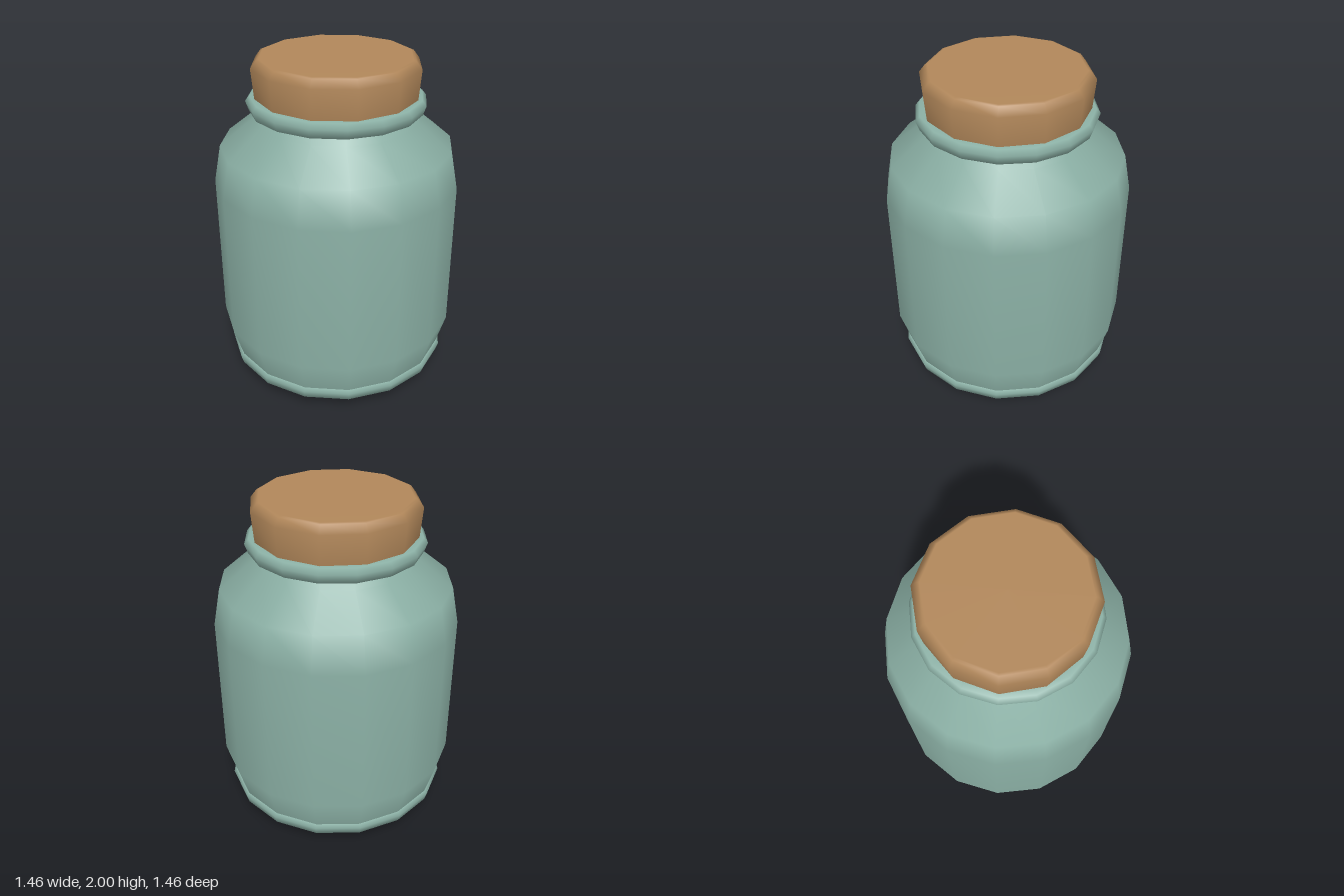
import * as THREE from 'three';

export function createModel() {
  const glass = new THREE.MeshStandardMaterial({ color: 0x8bb0a5 });
  glass.name = 'tealGlass';
  const cork = new THREE.MeshStandardMaterial({ color: 0xb1875a });
  cork.name = 'cork';

  const jar = new THREE.Group();
  jar.name = 'jar';

  // Turns a [radius, height] profile, listed from bottom to top, into a mesh
  const turn = (name, profile, sides, material) => {
    const points = profile.map(([r, y]) => new THREE.Vector2(r, y));
    const mesh = new THREE.Mesh(new THREE.LatheGeometry(points, sides), material);
    mesh.name = name;
    jar.add(mesh);
  };

  // Closed base, straight wall, sloped shoulder and short neck
  turn('body', [
    [0, 0], [0.54, 0], [0.56, 0.006], [0.655, 0.09], [0.67, 0.15], [0.728, 0.35],
    [0.728, 1.26], [0.685, 1.48], [0.485, 1.64], [0.48, 1.76], [0.4, 1.765],
  ], 16, glass);

  // Raised bands around the foot and the mouth
  turn('footRing', [
    [0.63, 0.085], [0.675, 0.085], [0.69, 0.135], [0.672, 0.153], [0.63, 0.153],
  ], 16, glass);
  turn('mouthRing', [
    [0.45, 1.69], [0.505, 1.69], [0.524, 1.745], [0.5, 1.775], [0.44, 1.775],
  ], 16, glass);

  // Stopper with a bevelled rim
  turn('stopper', [
    [0, 1.74], [0.46, 1.74], [0.475, 1.775], [0.49, 1.95], [0.455, 1.995], [0.44, 2], [0, 2],
  ], 12, cork);

  return jar;
}
